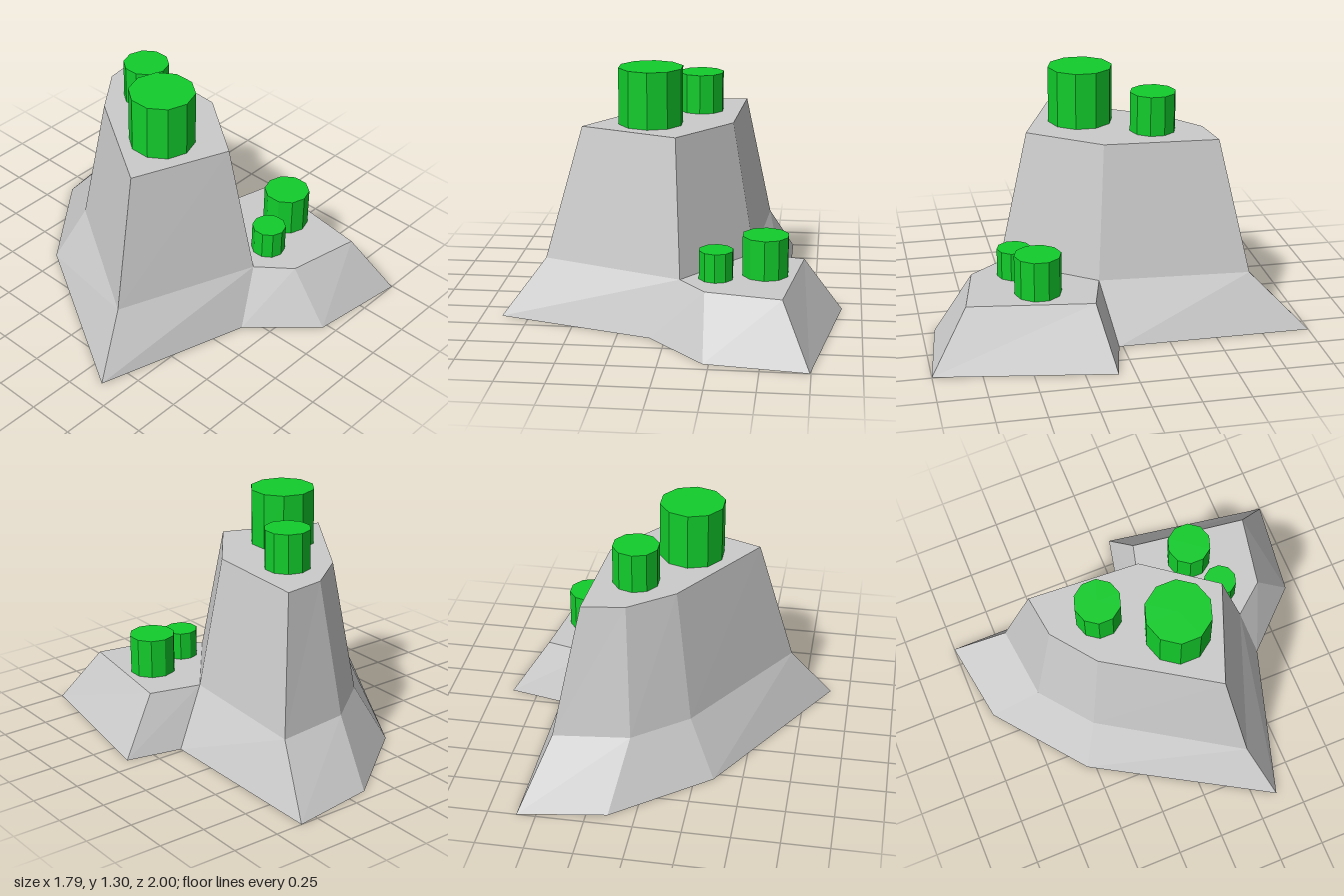
import * as THREE from 'three';

const stone = new THREE.MeshStandardMaterial({ color: 0xcccccc, flatShading: true });
const green = new THREE.MeshStandardMaterial({ color: 0x12cc2c, flatShading: true });

// Faceted solid from rings of [x, z] corners, each at its own height.
// skip(band, edge) leaves out walls where two solids join.
function facetedRock(name, rings, heights, skip) {
  const pos = [];
  const n = rings[0].length;
  const at = (r, i) => [rings[r][i % n][0], heights[r], rings[r][i % n][1]];
  const tri = (a, b, c) => pos.push(...a, ...b, ...c);
  for (let r = 0; r < rings.length - 1; r++) {
    for (let i = 0; i < n; i++) {
      if (skip(r, i)) continue;
      tri(at(r, i), at(r, i + 1), at(r + 1, i + 1));
      tri(at(r, i), at(r + 1, i + 1), at(r + 1, i));
    }
  }
  // Flat top and underside
  const top = rings.length - 1;
  for (let i = 1; i < n - 1; i++) {
    tri(at(top, 0), at(top, i), at(top, i + 1));
    tri(at(0, 0), at(0, i + 1), at(0, i));
  }
  const geometry = new THREE.BufferGeometry();
  geometry.setAttribute('position', new THREE.Float32BufferAttribute(pos, 3));
  geometry.computeVertexNormals();
  const mesh = new THREE.Mesh(geometry, stone);
  mesh.name = name;
  return mesh;
}

// Ten-sided post standing on a plateau
function post(name, x, z, radius, bottom, top) {
  const mesh = new THREE.Mesh(new THREE.CylinderGeometry(radius, radius, top - bottom, 10), green);
  mesh.position.set(x, (bottom + top) / 2, z);
  mesh.name = name;
  return mesh;
}

export function createModel() {
  const model = new THREE.Group();
  model.name = 'steppedRock';

  // Tall plateau with a flared foot
  model.add(facetedRock('tallPlateau', [
    [[-0.895, 0.38], [-0.08, 0.62], [0.6, 0.02], [0.6, -1], [0.14, -0.93], [-0.35, -0.545]],
    [[-0.67, 0.28], [0.07, 0.56], [0.42, 0.09], [0.47, -0.705], [0.07, -0.66], [-0.21, -0.44]],
    [[-0.48, 0.2], [0.03, 0.4], [0.3, 0.04], [0.335, -0.56], [0.11, -0.53], [-0.12, -0.355]],
  ], [0, 0.3, 1], (band, edge) => band === 0 && edge === 1));

  // Low ledge joined to the foot of the plateau
  model.add(facetedRock('lowLedge', [
    [[-0.08, 0.62], [0.22, 0.935], [0.745, 1], [0.895, 0.085], [0.6, 0.02]],
    [[0.07, 0.56], [0.21, 0.73], [0.6, 0.805], [0.69, 0.16], [0.42, 0.09]],
  ], [0, 0.3], (band, edge) => edge === 4));

  // Green posts on both levels
  model.add(
    post('largeTopPost', -0.132, 0.082, 0.173, 1, 1.3),
    post('smallTopPost', 0.105, -0.26, 0.122, 1, 1.21),
    post('largeLedgePost', 0.497, 0.422, 0.122, 0.3, 0.51),
    post('smallLedgePost', 0.25, 0.508, 0.09, 0.3, 0.45),
  );
  return model;
}
